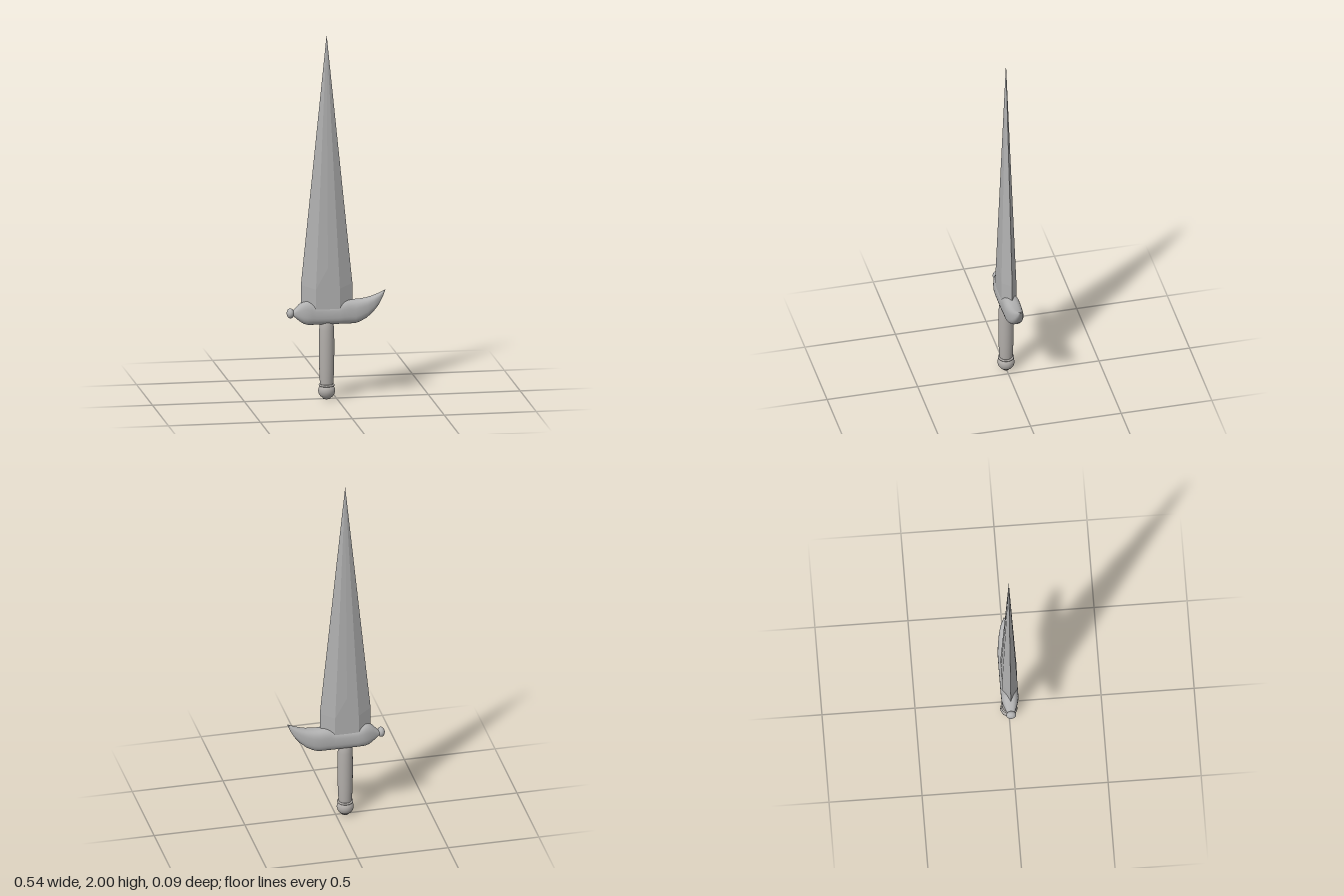
import * as THREE from 'three';

const AXIS = -0.053; // x of the blade and handle

const steel = new THREE.MeshStandardMaterial({ color: 0xb2b2b2 });
steel.name = 'steel';
const bladeSteel = new THREE.MeshStandardMaterial({ color: 0xb2b2b2, flatShading: true });
bladeSteel.name = 'blade steel';
const gripMetal = new THREE.MeshStandardMaterial({ color: 0xb2aeaa });
gripMetal.name = 'grip metal';

function part(name, geometry, material, parent) {
  const mesh = new THREE.Mesh(geometry, material);
  mesh.name = name;
  parent.add(mesh);
  return mesh;
}

// One face of the blade: long ridge that splits into a flat panel near the guard
function bladeHalf() {
  const p = {
    tip: [0, 2, 0], peak: [0, 0.725, 0.041],
    l: [-0.14, 0.63, 0], r: [0.14, 0.63, 0],
    cl: [-0.065, 0.61, 0.041], cr: [0.065, 0.61, 0.041],
    l0: [-0.14, 0.46, 0], r0: [0.14, 0.46, 0],
    cl0: [-0.065, 0.46, 0.041], cr0: [0.065, 0.46, 0.041],
  };
  const faces = [
    'tip l cl', 'tip cl peak', 'tip peak cr', 'tip cr r', 'peak cl cr',
    'cl cl0 cr0', 'cl cr0 cr', 'l l0 cl0', 'l cl0 cl', 'cr cr0 r0', 'cr r0 r',
  ];
  const pos = faces.flatMap((f) => f.split(' ').flatMap((k) => p[k]));
  const g = new THREE.BufferGeometry();
  g.setAttribute('position', new THREE.Float32BufferAttribute(pos, 3));
  g.computeVertexNormals();
  return g;
}

// Guard lofted along x through rounded cross-sections
function guardGeometry() {
  // x, bottom, top, half depth
  const stations = [
    [-0.24, 0.465, 0.485, 0.018], [-0.225, 0.452, 0.497, 0.025],
    [-0.2, 0.43, 0.524, 0.035], [-0.18, 0.417, 0.538, 0.041],
    [-0.16, 0.411, 0.544, 0.046], [-0.14, 0.41, 0.54, 0.047],
    [-0.115, 0.41, 0.527, 0.047], [-0.05, 0.41, 0.525, 0.047],
    [0.01, 0.41, 0.526, 0.047], [0.035, 0.41, 0.537, 0.047],
    [0.06, 0.41, 0.541, 0.047], [0.1, 0.41, 0.539, 0.047],
    [0.13, 0.42, 0.541, 0.044], [0.165, 0.439, 0.546, 0.039],
    [0.2, 0.47, 0.556, 0.032], [0.23, 0.507, 0.568, 0.023],
    [0.25, 0.544, 0.578, 0.012], [0.267, 0.585, 0.587, 0.001],
  ];
  const n = 28, pos = [], idx = [];
  const soft = (v) => Math.sign(v) * Math.abs(v) ** 0.75;
  for (const [x, bottom, top, depth] of stations) {
    for (let j = 0; j < n; j++) {
      const a = (j / n) * Math.PI * 2;
      pos.push(x, (top + bottom) / 2 + soft(Math.sin(a)) * (top - bottom) / 2,
        soft(Math.cos(a)) * depth - 0.002);
    }
  }
  for (let i = 0; i < stations.length - 1; i++) {
    for (let j = 0; j < n; j++) {
      const k = (j + 1) % n, a = i * n + j, b = i * n + k;
      idx.push(a, a + n, b, b, a + n, b + n);
    }
  }
  const g = new THREE.BufferGeometry();
  g.setAttribute('position', new THREE.Float32BufferAttribute(pos, 3));
  g.setIndex(idx);
  g.computeVertexNormals();
  return g;
}

function lathe(points) {
  return new THREE.LatheGeometry(points.map(([r, y]) => new THREE.Vector2(r, y)), 32);
}

export function createModel() {
  const model = new THREE.Group();
  model.name = 'dagger';

  // Blade: the same face front and back
  const blade = new THREE.Group();
  blade.name = 'blade';
  blade.position.x = AXIS;
  model.add(blade);
  const half = bladeHalf();
  part('bladeFront', half, bladeSteel, blade);
  part('bladeBack', half, bladeSteel, blade).rotation.y = Math.PI;

  // Guard with a small knob on its blunt end
  part('guard', guardGeometry(), steel, model);
  const knob = part('guardKnob', new THREE.SphereGeometry(1, 24, 16), steel, model);
  knob.scale.set(0.02, 0.027, 0.027);
  knob.position.set(-0.25, 0.475, -0.002);

  // Handle
  const handle = new THREE.Group();
  handle.name = 'handle';
  handle.position.x = AXIS;
  model.add(handle);
  part('grip', lathe([
    [0.034, 0.07], [0.037, 0.1], [0.04, 0.17], [0.041, 0.25],
    [0.041, 0.32], [0.04, 0.38], [0.037, 0.41], [0.032, 0.425],
  ]), gripMetal, handle);
  const collar = part('collar', new THREE.TorusGeometry(0.037, 0.006, 10, 32), gripMetal, handle);
  collar.rotation.x = Math.PI / 2;
  collar.position.y = 0.075;
  part('pommel', lathe([
    [0, 0], [0.02, 0], [0.024, 0.008], [0.034, 0.014], [0.042, 0.026],
    [0.046, 0.042], [0.044, 0.056], [0.039, 0.067], [0.03, 0.073], [0, 0.075],
  ]), gripMetal, handle);

  return model;
}
